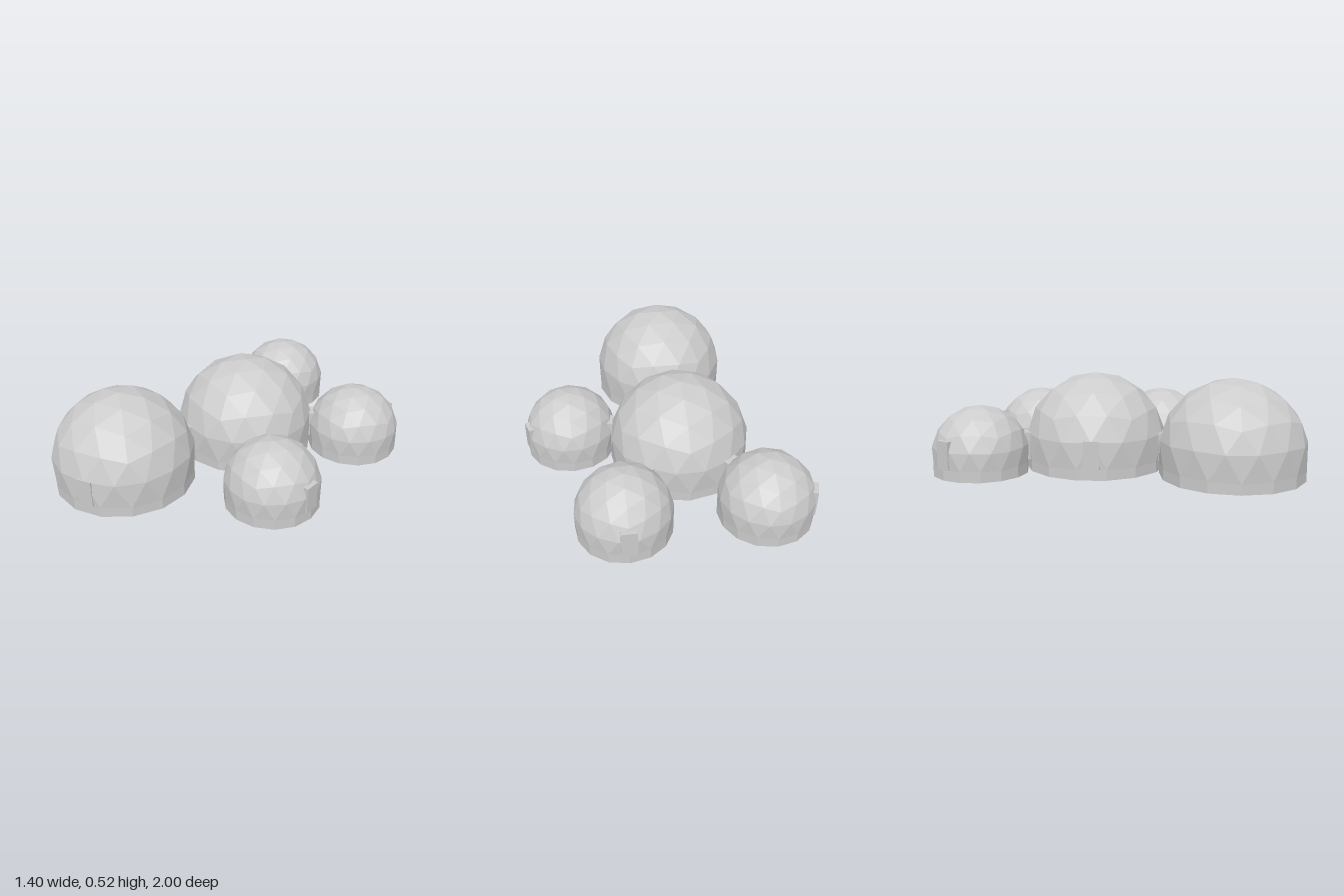
import * as THREE from 'three';

const mat = new THREE.MeshStandardMaterial({ color: 0xcccccc, flatShading: true });

// Geodesic dome: sphere kept down to the row under its equator, then a straight skirt and a flat floor
function domeGeometry(radius, centreY, turn) {
  const ico = new THREE.IcosahedronGeometry(radius, 2);
  ico.rotateZ(Math.atan(2 / (1 + Math.sqrt(5)))); // one vertex straight up
  ico.rotateY(turn);
  const p = ico.attributes.position;
  const out = [];
  const push = (...pts) => pts.forEach((v) => out.push(v.x, v.y, v.z));
  const ground = (v) => new THREE.Vector3(v.x, 0, v.z);
  const floorCentre = new THREE.Vector3();
  for (let i = 0; i < p.count; i += 3) {
    const t = [0, 1, 2].map((k) => new THREE.Vector3().fromBufferAttribute(p, i + k));
    if (t.some((v) => v.y < -0.3 * radius)) continue;
    t.forEach((v) => { v.y += centreY; });
    push(...t);
    for (let k = 0; k < 3; k++) {
      const a = t[k], b = t[(k + 1) % 3];
      if (a.y > centreY || b.y > centreY) continue;
      const ga = ground(a), gb = ground(b);
      push(a, ga, b, b, ga, gb);
      push(gb, ga, floorCentre);
    }
  }
  const g = new THREE.BufferGeometry();
  g.setAttribute('position', new THREE.Float32BufferAttribute(out, 3));
  g.computeVertexNormals();
  return g;
}

export function createModel() {
  const model = new THREE.Group();

  const large = { radius: 0.395, y: 0.127, reach: 0.389 };
  const small = { radius: 0.262, y: 0.103, reach: 0.26 };
  const domes = [
    { name: 'frontLargeDome', size: large, x: -0.316, z: 0.611, turn: 0 },
    { name: 'centreLargeDome', size: large, x: -0.076, z: -0.129, turn: Math.PI },
    { name: 'frontSmallDome', size: small, x: 0.44, z: 0.25, turn: Math.PI },
    { name: 'backRightSmallDome', size: small, x: -0.275, z: -0.743, turn: Math.PI },
    { name: 'backLeftSmallDome', size: small, x: 0.44, z: -0.508, turn: Math.PI },
  ];
  for (const d of domes) {
    const mesh = new THREE.Mesh(domeGeometry(d.size.radius, d.size.y, d.turn), mat);
    mesh.name = d.name;
    mesh.position.set(d.x, 0, d.z);
    model.add(mesh);
  }

  // Door box on a dome, at an angle from +x towards +z; distance is to the box centre
  function addDoor(name, dome, degrees, distance, depth) {
    const a = THREE.MathUtils.degToRad(degrees);
    const door = new THREE.Mesh(new THREE.BoxGeometry(depth, 0.15, 0.083), mat);
    door.name = name;
    door.position.set(dome.x + Math.cos(a) * distance, 0.133, dome.z + Math.sin(a) * distance);
    door.rotation.y = -a;
    model.add(door);
  }

  // Outside doors
  const [front, centre, smallFront, smallBackRight, smallBackLeft] = domes;
  const outside = [[front, 72], [centre, 180], [smallFront, 0], [smallBackRight, 216], [smallBackLeft, -72]];
  for (const [dome, angle] of outside) addDoor('outsideDoor', dome, angle, dome.size.reach - 0.018, 0.036);

  // Passages joining the centre dome to its neighbours
  for (const angle of [-108, -36, 36, 108]) addDoor('passage', centre, angle, 0.387, 0.066);

  return model;
}
